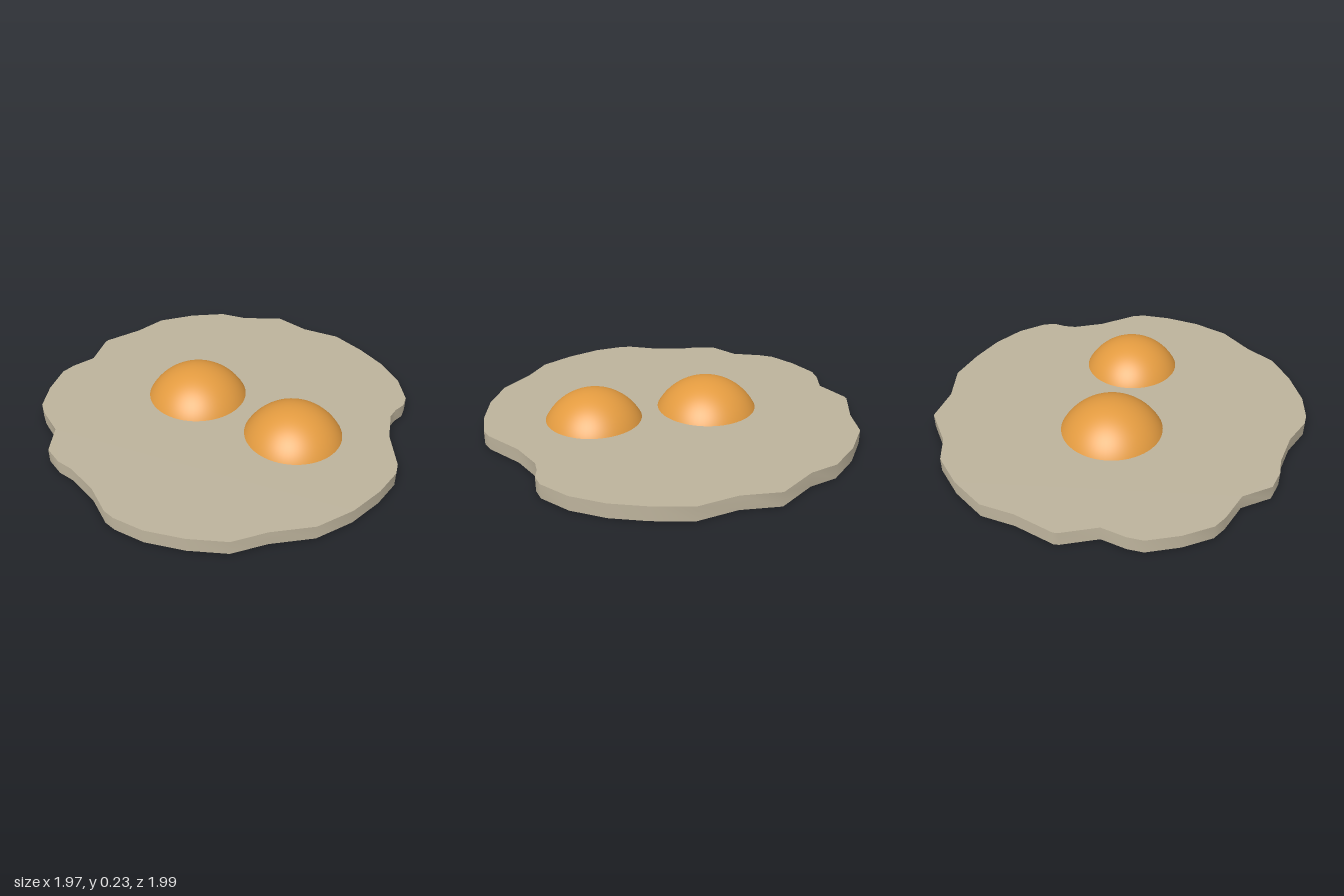
import * as THREE from 'three';
import { toCreasedNormals } from 'three/addons/utils/BufferGeometryUtils.js';

const TOP = 0.08, BOTTOM = 0.005;

// Wavy rim of the egg white as x, z pairs
const RIM = [
  -0.02, -1, 0.19, -0.95, 0.37, -0.94, 0.55, -0.84, 0.7, -0.71, 0.76, -0.57,
  0.91, -0.4, 0.915, -0.2, 0.98, 0, 0.955, 0.2, 0.91, 0.38, 0.83, 0.545,
  0.715, 0.67, 0.65, 0.695, 0.585, 0.69, 0.52, 0.7, 0.37, 0.79, 0.21, 0.945,
  0.15, 0.975, -0.01, 0.99, -0.2, 0.975, -0.395, 0.915, -0.57, 0.78, -0.73, 0.695,
  -0.85, 0.54, -0.945, 0.365, -0.985, 0.21, -0.985, 0.145, -0.93, -0.015, -0.91, -0.2,
  -0.92, -0.29, -0.9, -0.4, -0.775, -0.51, -0.73, -0.67, -0.695, -0.74, -0.57, -0.84,
  -0.42, -0.92, -0.34, -0.925, -0.21, -0.905, -0.045, -0.995,
];

function createWhite() {
  const points = [];
  for (let i = 0; i < RIM.length; i += 2) points.push(new THREE.Vector2(RIM[i], -RIM[i + 1]));
  const slab = new THREE.ExtrudeGeometry(new THREE.Shape(points), {
    depth: TOP - BOTTOM, bevelEnabled: false,
  });
  slab.rotateX(-Math.PI / 2);
  slab.translate(0, BOTTOM, 0);
  const mesh = new THREE.Mesh(
    toCreasedNormals(slab, 0.9),
    new THREE.MeshStandardMaterial({ color: 0xbdb39c }),
  );
  mesh.name = 'eggWhite';
  return mesh;
}

// Spherical cap resting on the white, given its rim radius and height
function createYolk(name, x, z, rim, height) {
  const radius = (rim * rim + height * height) / (2 * height);
  const angle = Math.acos((radius - height) / radius);
  const cap = new THREE.SphereGeometry(radius, 64, 24, 0, Math.PI * 2, 0, angle);
  cap.translate(0, height - radius, 0);
  const mesh = new THREE.Mesh(cap, new THREE.MeshStandardMaterial({ color: 0xe39b40 }));
  mesh.name = name;
  mesh.position.set(x, TOP, z);
  return mesh;
}

export function createModel() {
  const group = new THREE.Group();
  group.name = 'friedEgg';
  group.add(
    createWhite(),
    createYolk('backYolk', -0.03, -0.205, 0.266, 0.158),
    createYolk('frontYolk', 0.052, 0.41, 0.254, 0.153),
  );
  return group;
}
